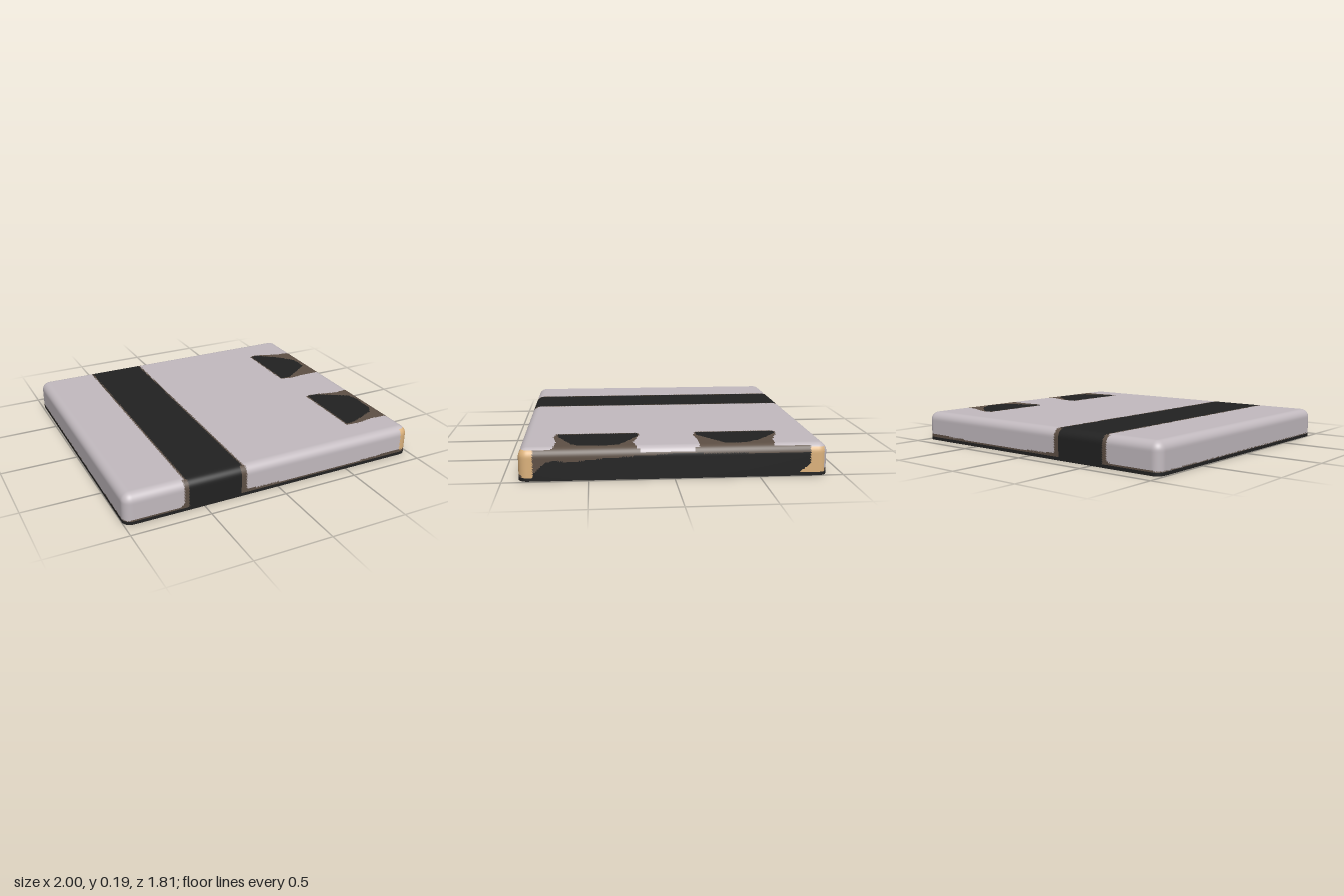
import * as THREE from 'three';

const HX = 0.993, HY = 0.192, HZ = 0.905, RADIUS = 0.055;

const paint = (name, color) => {
  const m = new THREE.MeshStandardMaterial({ color, side: THREE.DoubleSide });
  m.name = name;
  return m;
};

// Outlines on the top face, as [x, z]
const blackPatches = [
  [[0.65, -0.64], [0.70, -0.65], [0.84, -0.54], [0.92, -0.44], [0.93, -0.38], [0.92, -0.30], [0.72, -0.16], [0.65, -0.16]],
  [[0.65, 0.20], [0.72, 0.20], [0.92, 0.32], [0.94, 0.40], [0.93, 0.55], [0.90, 0.60], [0.72, 0.68], [0.65, 0.69]],
];
const brownPatches = [
  [[0.64, -0.64], [0.67, -0.66], [0.72, -0.65], [0.86, -0.60], [1.1, -0.575], [1.1, -0.14], [0.86, -0.15], [0.72, -0.14], [0.64, -0.155]],
  [[0.64, 0.20], [0.67, 0.19], [0.74, 0.20], [0.87, 0.235], [1.1, 0.20], [1.1, 0.80], [0.95, 0.70], [0.85, 0.69], [0.72, 0.71], [0.64, 0.70]],
];

// Upper edge of the black panel on the side wall, as [z, y]
const panelEdge = [[-0.82, 0.06], [-0.80, 0.14], [0, 0.15], [0.20, 0.14], [0.40, 0.13], [0.60, 0.11], [0.70, 0.12], [0.75, 0.11], [0.83, 0.03]];

function inside(x, z, poly) {
  let hit = false;
  poly.forEach(([ax, az], i) => {
    const [bx, bz] = poly[(i + 1) % poly.length];
    if ((az > z) !== (bz > z) && x < ax + (bx - ax) * (z - az) / (bz - az)) hit = !hit;
  });
  return hit;
}

function heightAt(line, z) {
  for (let i = 1; i < line.length; i++) {
    const [z0, y0] = line[i - 1], [z1, y1] = line[i];
    if (z >= z0 && z <= z1) return y0 + (y1 - y0) * (z - z0) / (z1 - z0);
  }
  return 0.02;
}

const LIGHT = 0, BLACK = 1, BROWN = 2, TAN = 3;

// Which paint covers the shell at a point
function paintAt({ x, y, z }) {
  if (y < 0.018) return BLACK;
  // side wall panel and its corners
  if (x > 0.955 && y < 0.18 && Math.abs(z) < 0.885) {
    if (z > 0.82) return TAN;
    if (z < -0.80 + Math.max(0, 0.07 - y) * 1.4) return y < 0.17 ? TAN : LIGHT;
    if (y < heightAt(panelEdge, z)) return BLACK;
    if (z > -0.12 && z < 0.20) return y < 0.158 ? BROWN : LIGHT;
    return BROWN;
  }
  if (x > 0.93 && z > 0.84 && y > 0.035 && y < 0.18) return TAN;
  // broad band across the shell
  const flare = Math.max(0, 0.05 - y) * 0.8;
  const wall = Math.abs(z) > 0.87 ? 0.01 : 0;
  if (x > -0.60 + wall && x < -0.235 - wall) return BLACK;
  if (x > -0.612 - wall - flare && x < -0.225 + wall + flare) return BROWN;
  // top patches
  if (y > 0.12 && x > 0.6) {
    if (blackPatches.some(p => inside(x, z, p))) return BLACK;
    if (brownPatches.some(p => inside(x, z, p))) return BROWN;
  }
  // hem along the bottom edge
  const hem = 0.034 + 0.005 * Math.sin(x * 5) * Math.cos(z * 3);
  return y < (x < -0.95 ? 0.025 : hem) ? BROWN : LIGHT;
}

// Rounded shell without a floor, split into one group per paint
function shellGeometry() {
  const geo = new THREE.BoxGeometry(HX * 2, HY * 2, HZ * 2, 200, 38, 182);
  const pos = geo.attributes.position, nor = geo.attributes.normal;
  const limit = new THREE.Vector3(HX, HY, HZ).subScalar(RADIUS);
  const low = limit.clone().negate();
  const p = new THREE.Vector3(), core = new THREE.Vector3(), n = new THREE.Vector3();
  for (let i = 0; i < pos.count; i++) {
    p.fromBufferAttribute(pos, i);
    core.copy(p).clamp(low, limit);
    n.copy(p).sub(core).normalize();
    p.copy(core).addScaledVector(n, RADIUS);
    pos.setXYZ(i, p.x, p.y, p.z);
    nor.setXYZ(i, n.x, n.y, n.z);
  }

  const lists = [[], [], [], []];
  const index = geo.index.array, mid = new THREE.Vector3();
  for (let f = 0; f < index.length; f += 3) {
    mid.set(0, 0, 0);
    for (let k = 0; k < 3; k++) mid.add(p.fromBufferAttribute(pos, index[f + k]));
    mid.divideScalar(3);
    if (mid.y > 0) lists[paintAt(mid)].push(index[f], index[f + 1], index[f + 2]);
  }
  geo.clearGroups();
  let start = 0;
  lists.forEach((list, i) => {
    geo.addGroup(start, list.length, i);
    start += list.length;
  });
  geo.setIndex(lists.flat());

  // slight skew of the plan
  for (let i = 0; i < pos.count; i++) pos.setX(i, pos.getX(i) - 0.007 * pos.getZ(i));
  return geo;
}

export function createModel() {
  const group = new THREE.Group();
  group.name = 'panel';
  const materials = [
    paint('pale grey', 0xc3bbc0),
    paint('black', 0x222222),
    paint('brown', 0x5e5045),
    paint('tan', 0xdcb27c),
  ];
  const shell = new THREE.Mesh(shellGeometry(), materials);
  shell.name = 'shell';
  group.add(shell);
  return group;
}
